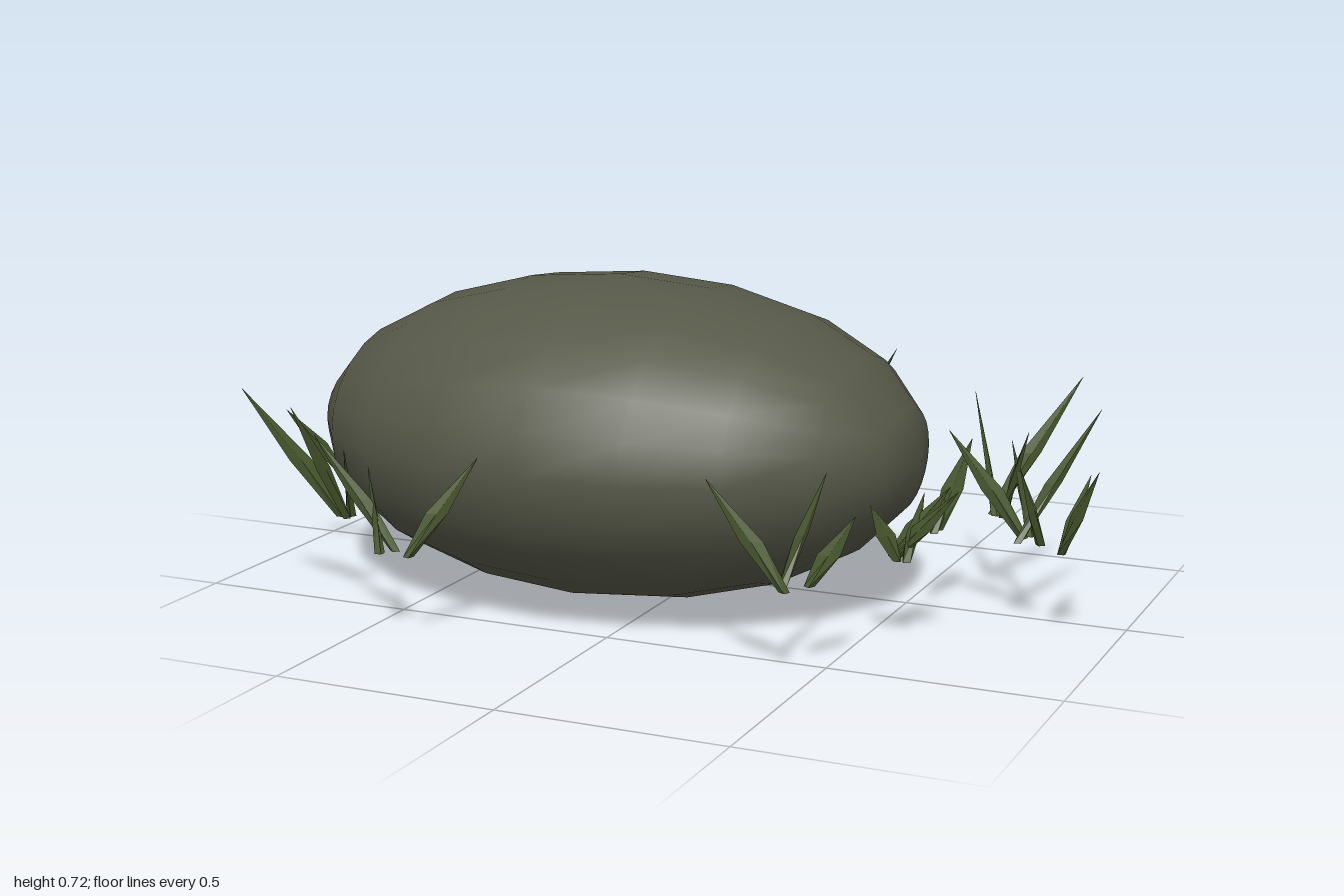
import * as THREE from 'three';

const GROUND = 0.19;

// Pointed blade: narrow foot, broad middle, sharp tip, flat in the plane it leans in
function bladeGeometry(x, z, tipX, tipZ, tipY) {
  const dx = tipX - x, dz = tipZ - z, len = Math.hypot(dx, dz) || 1;
  const ux = dx / len, uz = dz / len;
  // [share of lean, share of height, half width along the lean, half thickness]
  const sections = [[0, 0, 0.011, 0.011], [0.42, 0.45, 0.024, 0.006], [1, 1, 0.0005, 0.0005]];
  const pos = [], index = [];
  for (const [lean, rise, w, t] of sections) {
    for (const [a, b] of [[w, 0], [0, t], [-w, 0], [0, -t]]) {
      pos.push(x + dx * lean + ux * a - uz * b, GROUND + (tipY - GROUND) * rise, z + dz * lean + uz * a + ux * b);
    }
  }
  for (let r = 0; r < 2; r++) {
    for (let i = 0; i < 4; i++) {
      const a = r * 4 + i, b = r * 4 + (i + 1) % 4;
      index.push(a, a + 4, b, b, a + 4, b + 4);
    }
  }
  const g = new THREE.BufferGeometry();
  g.setAttribute('position', new THREE.Float32BufferAttribute(pos, 3));
  g.setIndex(index);
  const flat = g.toNonIndexed();
  flat.computeVertexNormals();
  return flat;
}

export function createModel() {
  const model = new THREE.Group();
  model.name = 'mossyBoulder';
  const stone = new THREE.MeshStandardMaterial({ color: 0x565848 });
  stone.name = 'mossy stone';
  const grass = new THREE.MeshStandardMaterial({ color: 0x4b5b30, side: THREE.DoubleSide });
  grass.name = 'grass green';

  // Boulder: smooth ellipsoid with its poles at the left and right ends
  const rock = new THREE.SphereGeometry(1, 24, 10);
  rock.rotateZ(Math.PI / 2);
  rock.scale(0.715, 0.36, 0.505);
  const boulder = new THREE.Mesh(rock, stone);
  boulder.name = 'boulder';
  boulder.position.set(-0.145, 0.365, 0.125);
  model.add(boulder);

  // Each blade: foot x, foot z, tip x, tip z, tip height
  const tuft = (name, blades) => {
    const group = new THREE.Group();
    group.name = name;
    for (const b of blades) {
      const mesh = new THREE.Mesh(bladeGeometry(...b), grass);
      mesh.name = 'grassBlade';
      group.add(mesh);
    }
    model.add(group);
  };

  tuft('backTuft', [
    [-0.09, -0.65, -0.31, -0.70, 0.47], [-0.07, -0.69, -0.20, -0.54, 0.46],
    [-0.08, -0.67, 0.01, -0.61, 0.42], [0.02, -0.61, 0.14, -0.67, 0.44],
    [0.03, -0.62, -0.03, -0.51, 0.38], [0.04, -0.56, 0.15, -0.54, 0.37],
  ]);
  tuft('innerBackTuft', [
    [-0.24, -0.53, -0.24, -0.60, 0.36], [-0.24, -0.54, -0.16, -0.44, 0.38],
    [-0.28, -0.50, -0.31, -0.52, 0.30], [0.17, -0.42, 0.00, -0.38, 0.42],
    [0.16, -0.42, 0.26, -0.60, 0.46], [0.15, -0.46, 0.18, -0.56, 0.36],
  ]);
  tuft('backRightTuft', [
    [-0.91, -0.24, -0.75, -0.40, 0.52], [-0.89, -0.22, -0.96, -0.28, 0.36],
    [-0.54, -0.36, -0.67, -0.41, 0.40], [-0.47, -0.35, -0.51, -0.42, 0.33],
    [-0.48, -0.37, -0.42, -0.32, 0.33],
  ]);
  tuft('rightTuft', [
    [-0.91, 0.01, -1.00, -0.07, 0.40], [-0.90, 0.11, -0.95, 0.26, 0.37],
    [-0.88, 0.07, -0.93, 0.00, 0.33],
  ]);
  tuft('frontRightTuft', [
    [-0.68, 0.46, -0.82, 0.62, 0.50], [-0.66, 0.47, -0.67, 0.66, 0.48],
    [-0.66, 0.45, -0.63, 0.52, 0.36],
  ]);
  tuft('frontTuft', [
    [-0.42, 0.66, -0.60, 0.68, 0.43], [-0.44, 0.69, -0.50, 0.63, 0.36],
    [-0.37, 0.69, -0.24, 0.62, 0.40],
  ]);
  tuft('frontLeftTuft', [
    [0.45, 0.61, 0.30, 0.66, 0.42], [0.43, 0.57, 0.47, 0.43, 0.40],
    [0.48, 0.55, 0.57, 0.53, 0.34],
  ]);
  tuft('leftTuft', [
    [0.57, 0.28, 0.72, 0.33, 0.36], [0.58, 0.30, 0.54, 0.36, 0.32],
    [0.56, 0.27, 0.68, 0.26, 0.35], [0.60, 0.30, 0.62, 0.25, 0.33],
    [0.58, 0.03, 0.65, 0.02, 0.40], [0.58, 0.06, 0.61, -0.02, 0.33],
  ]);
  tuft('outerLeftTuft', [
    [0.77, 0.06, 0.90, -0.11, 0.46], [0.82, 0.06, 0.81, 0.20, 0.39],
    [0.78, 0.00, 0.71, -0.08, 0.38], [0.88, 0.11, 0.98, 0.21, 0.40],
    [0.88, 0.11, 0.92, 0.04, 0.35], [0.77, 0.02, 0.62, 0.09, 0.43],
  ]);
  tuft('backLeftTuft', [
    [0.65, -0.15, 0.82, -0.25, 0.50], [0.66, -0.14, 0.55, -0.32, 0.43],
    [0.68, -0.13, 0.77, 0.00, 0.42], [0.36, -0.23, 0.40, -0.27, 0.32],
    [0.31, -0.28, 0.20, -0.36, 0.36],
  ]);
  return model;
}
